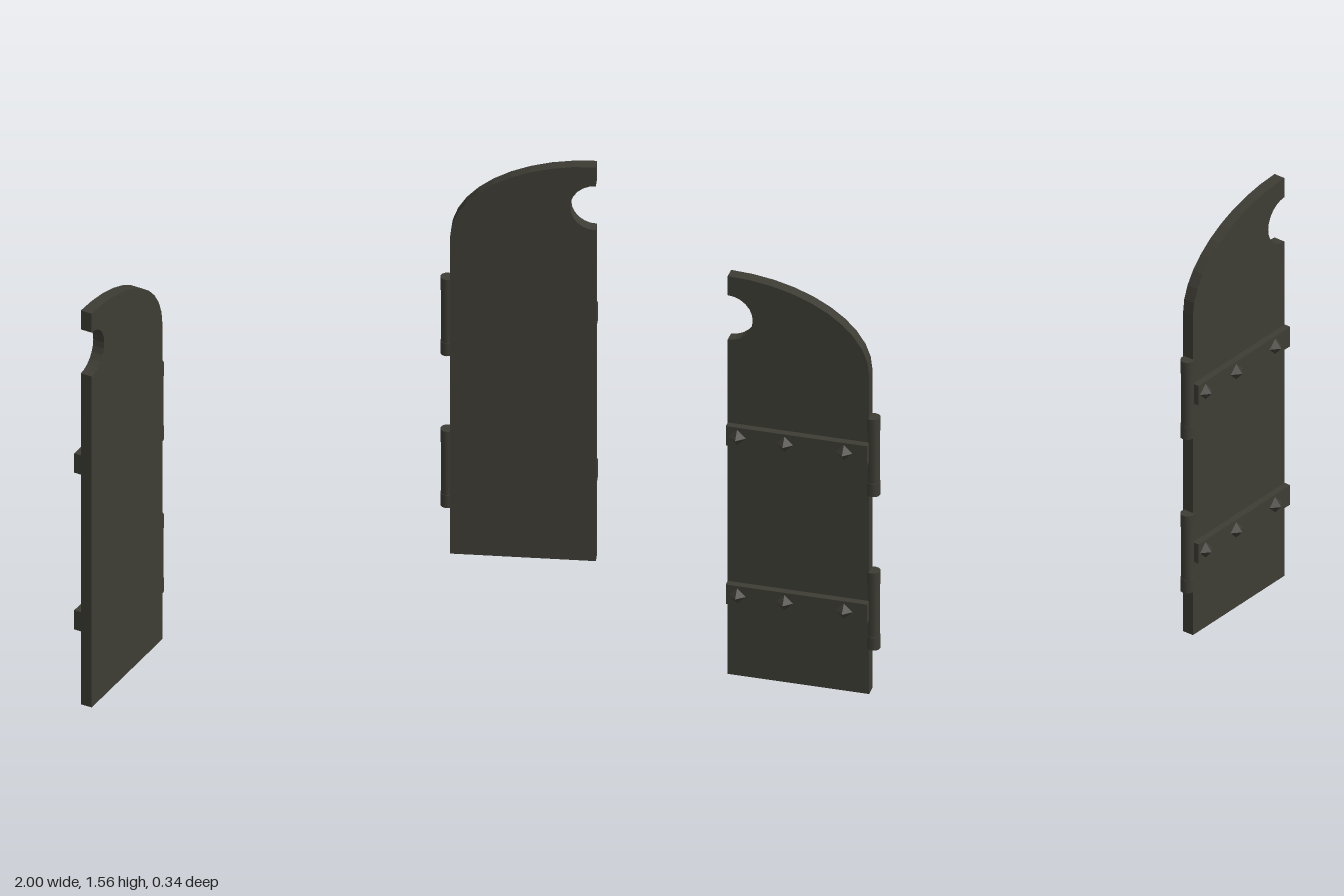
import * as THREE from 'three';

const LENGTH = 0.492, THICK = 0.042, HEIGHT = 1.56, SPRING = 1.25;
const BAND_H = 0.076, BAND_T = 0.025;

const iron = new THREE.MeshStandardMaterial({ color: 0x3d3c34 });
iron.name = 'darkIron';

function add(parent, name, geometry, x = 0, y = 0, z = 0) {
  const mesh = new THREE.Mesh(geometry, iron);
  mesh.name = name;
  mesh.position.set(x, y, z);
  parent.add(mesh);
  return mesh;
}

// Quarter-arched leaf with a half-round notch in its free edge; side is +1 or -1
function panelGeometry(side) {
  const pts = [[0, 0], [LENGTH, 0]];
  for (let i = 0; i <= 12; i++) {
    const a = -Math.PI / 2 - (i / 12) * Math.PI;
    pts.push([LENGTH + 0.087 * Math.cos(a), 1.398 + 0.087 * Math.sin(a)]);
  }
  for (let i = 0; i <= 10; i++) {
    const a = (i / 10) * Math.PI / 2;
    pts.push([LENGTH * (1 - Math.cos(a - Math.PI / 2 + Math.PI / 2 - 2 * a + Math.PI / 2)),
      SPRING + (HEIGHT - SPRING) * Math.cos(a)]);
  }
  const shape = new THREE.Shape(pts.map(([u, y]) => new THREE.Vector2(side * u, y)));
  return new THREE.ExtrudeGeometry(shape, { depth: THICK, bevelEnabled: false })
    .translate(0, 0, -THICK / 2);
}

// Shallow four-sided pyramid pointing to the back
function studGeometry() {
  return new THREE.ConeGeometry(0.03, 0.026, 4).toNonIndexed().rotateX(-Math.PI / 2);
}

function makeDoor(name, side, studs) {
  const door = new THREE.Group();
  door.name = name;
  add(door, 'panel', panelGeometry(side));

  // Straps with studs across the back
  for (const y of [0.327, 0.948]) {
    add(door, 'strap', new THREE.BoxGeometry(LENGTH, BAND_H, BAND_T),
      side * LENGTH / 2, y, -(THICK + BAND_T) / 2);
    for (const u of studs) {
      const stud = studGeometry();
      stud.computeVertexNormals();
      add(door, 'stud', stud, side * u * LENGTH, y, -THICK / 2 - BAND_T - 0.013);
    }
  }

  // Hinge barrels with slightly wider end knuckles
  for (const y of [0.328, 0.93]) {
    const hinge = new THREE.Group();
    hinge.name = 'hinge';
    hinge.position.set(-side * 0.011, y, -0.006);
    add(hinge, 'barrel', new THREE.CylinderGeometry(0.022, 0.022, 0.28, 12));
    for (const s of [-1, 1]) {
      add(hinge, 'knuckle', new THREE.CylinderGeometry(0.024, 0.024, 0.05, 12), 0, s * 0.126, 0);
    }
    door.add(hinge);
  }
  return door;
}

export function createModel() {
  const model = new THREE.Group();
  model.name = 'doubleGate';

  // Both leaves stand open at nearly matching angles
  const left = makeDoor('leftDoor', 1, [0.165, 0.585, 0.92]);
  left.position.set(0.568, 0, -0.128);
  left.rotation.y = -THREE.MathUtils.degToRad(34.8);

  const right = makeDoor('rightDoor', -1, [0.075, 0.41, 0.835]);
  right.position.set(-0.56, 0, -0.128);
  right.rotation.y = THREE.MathUtils.degToRad(32);

  model.add(left, right);
  return model;
}
